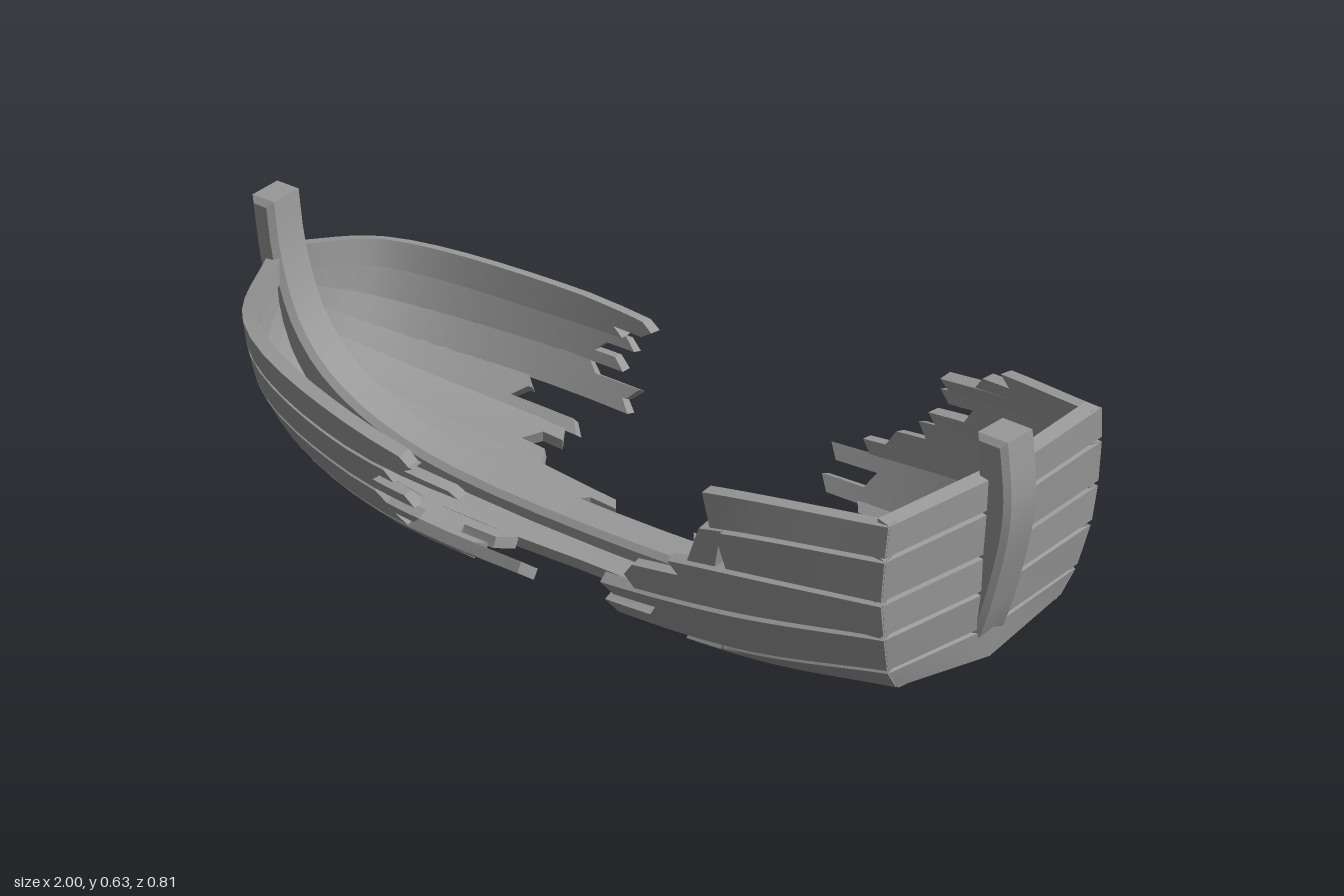
import * as THREE from 'three';
import { toCreasedNormals } from 'three/addons/utils/BufferGeometryUtils.js';

const V = (x, y, z) => new THREE.Vector3(x, y, z);
const lerp = THREE.MathUtils.lerp;
const clamp = THREE.MathUtils.clamp;

// Edge lines between the strakes, keel to rail, each running bow to stern
const LINES = [
  [[-.89, .14, .03], [-.73, .06, .04], [-.5, .026, .045], [0, .01, .045], [.5, .028, .045], [.85, .095, .045]],
  [[-.915, .185, .03], [-.77, .09, .1], [-.5, .036, .14], [0, .014, .12], [.5, .036, .15], [.865, .105, .155]],
  [[-.935, .235, .03], [-.81, .135, .155], [-.5, .062, .25], [0, .045, .26], [.5, .062, .262], [.875, .12, .258]],
  [[-.95, .28, .03], [-.83, .18, .19], [-.5, .12, .315], [0, .1, .335], [.5, .115, .335], [.885, .175, .3]],
  [[-.958, .32, .03], [-.85, .24, .215], [-.5, .19, .348], [0, .18, .38], [.5, .22, .38], [.9, .27, .33]],
  [[-.962, .36, .03], [-.858, .31, .23], [-.5, .26, .365], [0, .26, .395], [.5, .325, .395], [.905, .355, .345]],
  [[-.965, .41, .03], [-.865, .37, .235], [-.5, .325, .372], [0, .29, .4], [.5, .415, .402], [.915, .46, .345]],
  [[-.965, .46, .03], [-.865, .42, .235], [-.5, .38, .372], [0, .4, .4], [.5, .5, .395], [.92, .54, .338]],
].map(line => new THREE.CatmullRomCurve3(line.map(p => V(...p))));

// Outer hull surface: t runs bow to stern, s counts strakes up from the keel
function hull(t, s) {
  const k = clamp(Math.floor(s), 0, 6);
  t = clamp(t, 0, 1);
  return LINES[k].getPoint(t).lerp(LINES[k + 1].getPoint(t), s - k);
}

// Finds t where strake coordinate s reaches a given x
function tAt(x, s) {
  let a = 0, b = 1;
  for (let i = 0; i < 22; i++) {
    const m = (a + b) / 2;
    if (hull(m, s).x < x) a = m; else b = m;
  }
  return a;
}

// Board on strake k of a surface, its long edges bevelled; grid(u, j) gives t and s
function board(surface, k, grid, nu, nv, thick, flip = false) {
  const pos = [], idx = [], e = .008;
  const at = (i, j, inner) => (i * (nv + 1) + j) * 2 + inner;
  const core = V(0, .55, 0);
  let turn = false;
  for (let i = 0; i <= nu; i++) for (let j = 0; j <= nv; j++) {
    const [t, s] = grid(i / nu, j);
    const p = surface(t, s);
    const n = surface(t + e, s).sub(surface(t - e, s))
      .cross(surface(t, s + e).sub(surface(t, s - e))).normalize();
    const inward = n.dot(core.clone().sub(p)) > 0;
    if (i === nu >> 1 && j === nv >> 1) turn = inward;
    const q = surface(t, s + .13 * (s - k - .5)).addScaledVector(n, inward ? thick : -thick);
    pos.push(p.x, p.y, flip ? -p.z : p.z, q.x, q.y, flip ? -q.z : q.z);
  }
  const quad = (a, b, c, d) => (turn !== flip) ? idx.push(a, c, b, a, d, c) : idx.push(a, b, c, a, c, d);
  for (let i = 0; i < nu; i++) for (let j = 0; j < nv; j++) {
    quad(at(i, j, 0), at(i + 1, j, 0), at(i + 1, j + 1, 0), at(i, j + 1, 0));
    quad(at(i, j, 1), at(i, j + 1, 1), at(i + 1, j + 1, 1), at(i + 1, j, 1));
  }
  for (let i = 0; i < nu; i++) {
    quad(at(i, 0, 0), at(i, 0, 1), at(i + 1, 0, 1), at(i + 1, 0, 0));
    quad(at(i, nv, 0), at(i + 1, nv, 0), at(i + 1, nv, 1), at(i, nv, 1));
  }
  for (let j = 0; j < nv; j++) {
    quad(at(0, j, 0), at(0, j + 1, 0), at(0, j + 1, 1), at(0, j, 1));
    quad(at(nu, j, 0), at(nu, j, 1), at(nu, j + 1, 1), at(nu, j + 1, 0));
  }
  const g = new THREE.BufferGeometry();
  g.setAttribute('position', new THREE.Float32BufferAttribute(pos, 3));
  g.setIndex(idx);
  return toCreasedNormals(g, .5);
}

// One strake plank; ends lists the x of each splinter from lower to upper edge
function plank(k, ends, bow, flip) {
  const cols = [];
  ends.forEach((x, i) => {
    const a = i / ends.length, b = (i + 1) / ends.length;
    const slant = (i % 2 ? 1 : -1) * .012;
    for (const [v, dx] of [[a, -slant], [b, slant]]) {
      const s = k + .06 + .88 * v;
      cols.push([s, x === null ? 1 : tAt(x + dx, s)]);
    }
  });
  const ts = cols.map(c => c[1]);
  const root = bow ? 0 : 1, whole = bow ? Math.min(...ts) : Math.max(...ts);
  // Even rows along the unbroken length, then two rows for the splinters
  const grid = (u, j) => {
    const [s, t] = cols[j], w = 16 * (bow ? u : 1 - u);
    return [w <= 14 ? lerp(root, whole, w / 14) : lerp(whole, t, (w - 14) / 2), s];
  };
  return board(hull, k, grid, 16, cols.length - 1, k > 4 ? .03 : .024, flip);
}

// Broken planks: strake, splinter ends (null = unbroken to the stern)
const BOW = {
  front: [[0, [null]], [1, [-.24, -.32, -.25]], [2, [-.24, -.2, -.05]], [3, [-.36, -.31, -.4]],
    [4, [-.31, -.4, -.36]], [5, [-.18, -.3, -.31]]],
  back: [[0, [-.27, -.24, -.17]], [1, [-.4, -.46, -.41]], [2, [-.4, -.55, -.54]], [3, [-.32, -.31, -.42]],
    [4, [-.36, -.41, -.34]], [5, [-.37, -.3, -.3]]],
};
const STERN = {
  front: [[1, [.42, .27, .38]], [2, [.36, .45, .5]], [3, [.2, .32, .21]], [4, [.28, .28, .4]],
    [5, [.525]], [6, [.49]]],
  back: [[0, [.17, .1, .04]], [1, [.14, .27, .28]], [2, [.35, .42, .3]], [3, [.2, .31, .2]], [4, [.28, .34, .42]],
    [5, [.45, .55, .48]], [6, [.48, .58, .66]]],
};

export function createModel() {
  const group = new THREE.Group();
  const wood = new THREE.MeshStandardMaterial({ color: 0x999999 });
  const add = (name, geo) => {
    const m = new THREE.Mesh(geo, wood);
    m.name = name;
    group.add(m);
  };

  // Hull planking
  for (const side of ['front', 'back']) {
    for (const [k, ends] of BOW[side]) add(side + 'BowPlank' + k, plank(k, ends, true, side === 'back'));
    for (const [k, ends] of STERN[side]) add(side + 'SternPlank' + k, plank(k, ends, false, side === 'back'));
  }

  // Upright that closes the rail on the front side
  add('railEnd', board(hull, 5, (u, j) => {
    const s = 5.06 + .94 * j;
    return [tAt(lerp(.44 + .035 * j, .51 + .02 * j, u), s), s];
  }, 2, 1, .034));

  // Transom boards, slightly bent at the centre line
  for (let k = 2; k < 7; k++) {
    const face = (t, s) => {
      const p = hull(1, s), side = 2 * t - 1, mid = 1 - Math.abs(side);
      const drop = k === 2 ? .025 * (3 - s) * mid : 0;
      return V(p.x + .03 * mid, p.y - drop, p.z * side * .985);
    };
    add('transomBoard' + k, board(face, k, (u, j) => [u, k + .06 + .88 * j], 4, 1, .035));
  }

  // Stem, keel and sternpost in one curved timber
  const outer = [[.975, .618], [.984, .5], [.972, .4], [.94, .28], [.91, .19], [.87, .115], [.8, .07], [.65, .042],
    [.4, .022], [0, .012], [-.4, .018], [-.65, .045], [-.82, .115], [-.915, .23], [-.96, .36], [-.988, .518]];
  const inner = [[-.955, .518], [-.935, .4], [-.885, .27], [-.79, .17], [-.63, .1], [-.4, .065], [0, .058],
    [.4, .075], [.65, .1], [.78, .14], [.84, .21], [.865, .32], [.9, .44], [.922, .53], [.92, .618]];
  const smooth = pts => new THREE.SplineCurve(pts.map(p => new THREE.Vector2(...p))).getPoints(44);
  const timber = new THREE.ExtrudeGeometry(new THREE.Shape([...smooth(outer), ...smooth(inner)]), {
    depth: .078, bevelEnabled: true, bevelThickness: .012, bevelSize: .012, bevelSegments: 1,
  });
  timber.translate(0, 0, -.039);
  add('keel', toCreasedNormals(timber, .5));

  // Stern bench with the bulkhead below it, fitted to the hull section
  const seatY = .29;
  const bench = new THREE.Shape([[.66, -.355], [.89, -.325], [.89, .325], [.66, .355]].map(p => new THREE.Vector2(...p)));
  const benchGeo = new THREE.ExtrudeGeometry(bench, { depth: .025, bevelEnabled: false });
  benchGeo.rotateX(Math.PI / 2).translate(0, seatY, 0);
  add('bench', benchGeo);

  const half = [0, 1, 2, 3, 4].map(s => {
    const p = hull(tAt(.67, s), s);
    return [p.z * .95, p.y + .015];
  });
  half.push([.35, seatY - .01]);
  const section = [...half, ...half.map(([z, y]) => [-z, y]).reverse()];
  const bulkhead = new THREE.ExtrudeGeometry(new THREE.Shape(section.map(p => new THREE.Vector2(...p))),
    { depth: .025, bevelEnabled: false });
  bulkhead.rotateY(Math.PI / 2).translate(.662, 0, 0);
  add('bulkhead', bulkhead);

  return group;
}
